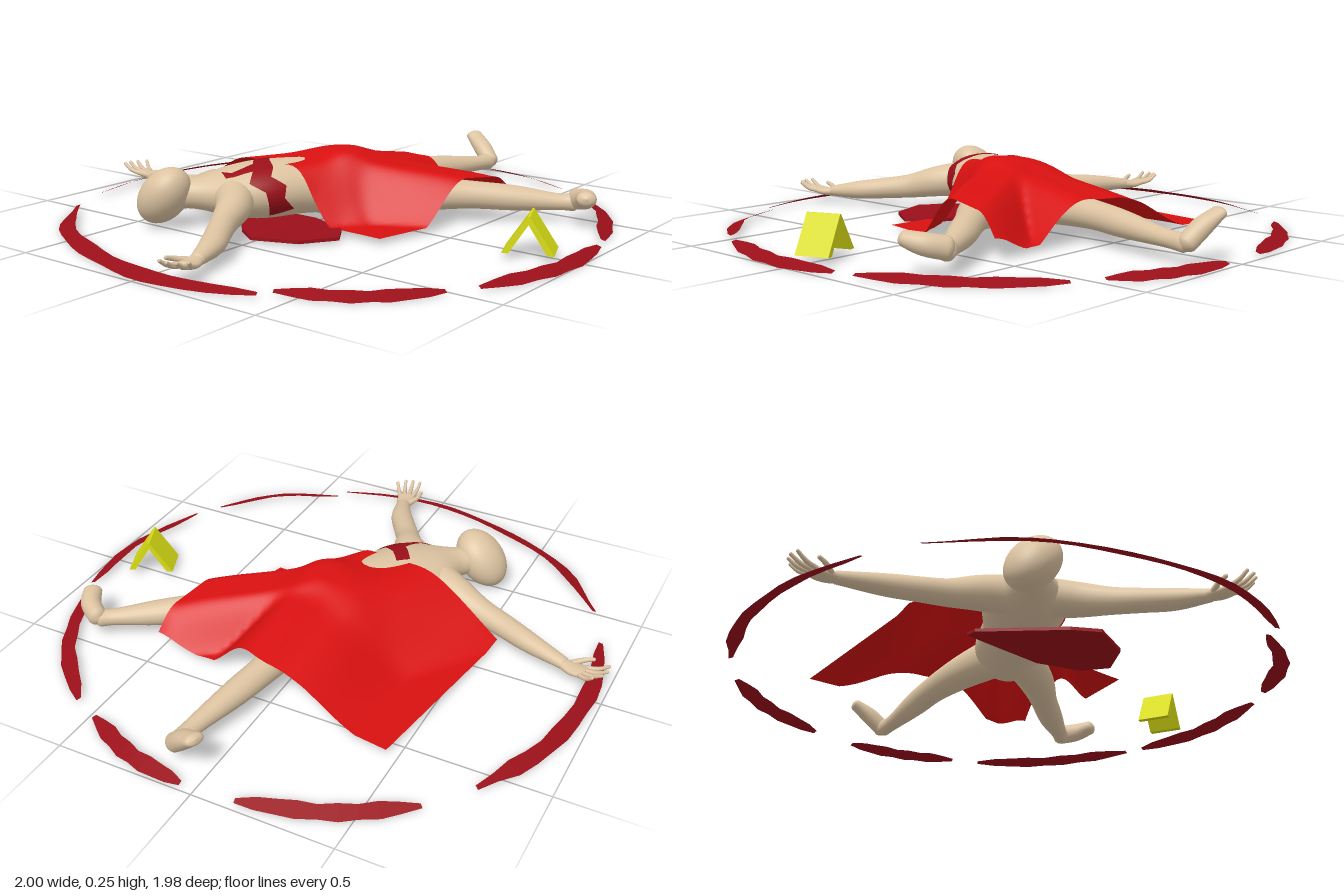
import * as THREE from 'three';

const paint = (color, extra = {}) => new THREE.MeshStandardMaterial({ color, ...extra });
const skin = paint(0xdcc3a1);
const red = paint(0xd81010, { side: THREE.DoubleSide });
const darkRed = paint(0x9a0f19, { flatShading: true, side: THREE.DoubleSide });
const stainRed = paint(0x9a0f19, { side: THREE.DoubleSide });
const yellow = paint(0xd9dd14, { flatShading: true });

function add(parent, name, geometry, material) {
  const mesh = new THREE.Mesh(geometry, material);
  mesh.name = name;
  parent.add(mesh);
  return mesh;
}

function gridGeometry(nu, nv, point) {
  const pos = [], index = [];
  for (let i = 0; i <= nu; i++)
    for (let j = 0; j <= nv; j++) pos.push(...point(i / nu, j / nv).toArray());
  for (let i = 0; i < nu; i++)
    for (let j = 0; j < nv; j++) {
      const a = i * (nv + 1) + j, b = a + nv + 1;
      index.push(a, a + 1, b, b, a + 1, b + 1);
    }
  const g = new THREE.BufferGeometry();
  g.setAttribute('position', new THREE.Float32BufferAttribute(pos, 3));
  g.setIndex(index);
  g.computeVertexNormals();
  return g;
}

// Rows are [x, y, z, half width, half height]; returns a point on the skin at (t, angle)
function skinSurface(rows) {
  const path = new THREE.CatmullRomCurve3(rows.map(r => new THREE.Vector3(r[0], r[1], r[2])));
  const size = new THREE.CatmullRomCurve3(rows.map(r => new THREE.Vector3(r[3], r[4], 0)), false, 'catmullrom');
  const Y = new THREE.Vector3(0, 1, 0);
  return (t, a, scale = 1, push = 0) => {
    const s = size.getPoint(t), tan = path.getTangent(t);
    const side = new THREE.Vector3().crossVectors(tan, Y).normalize();
    const up = new THREE.Vector3().crossVectors(side, tan);
    return path.getPoint(t)
      .addScaledVector(tan, push * Math.min(s.x, s.y))
      .addScaledVector(side, Math.cos(a) * s.x * scale)
      .addScaledVector(up, Math.sin(a) * s.y * scale);
  };
}

// Closed, round-ended body part
function loft(rows, sides = 20, steps = 5) {
  const surface = skinSurface(rows), n = (rows.length - 1) * steps;
  const rings = [[0, 0.01, -0.7], [0, 0.6, -0.5], [0, 0.88, -0.25]];
  for (let i = 0; i <= n; i++) rings.push([i / n, 1, 0]);
  rings.push([1, 0.88, 0.25], [1, 0.6, 0.5], [1, 0.01, 0.7]);
  const pos = [], index = [];
  rings.forEach(([t, s, p], i) => {
    for (let j = 0; j < sides; j++) {
      pos.push(...surface(t, j / sides * Math.PI * 2, s, p).toArray());
      if (i === rings.length - 1) continue;
      const a = i * sides + j, b = i * sides + (j + 1) % sides;
      index.push(a, a + sides, b, b, a + sides, b + sides);
    }
  });
  const g = new THREE.BufferGeometry();
  g.setAttribute('position', new THREE.Float32BufferAttribute(pos, 3));
  g.setIndex(index);
  g.computeVertexNormals();
  return g;
}

// Palm-up hand, fingers along local +x, thumb on local +z * thumbSide
function hand(name, x, y, z, turn, thumbSide) {
  const g = new THREE.Group();
  g.name = name;
  add(g, 'palm', loft([[-0.02, 0, 0, 0.022, 0.018], [0.03, -0.005, 0, 0.034, 0.016], [0.07, 0, 0, 0.034, 0.013]], 14), skin);
  for (let i = 0; i < 4; i++) {
    const s = (i - 1.5) * thumbSide, len = [0.06, 0.08, 0.085, 0.075][i];
    add(g, 'finger', loft([[0.065, 0, s * 0.017, 0.009, 0.009],
      [0.065 + len * 0.55, 0.008, s * 0.025, 0.008, 0.008],
      [0.065 + len, 0.03, s * 0.031, 0.006, 0.006]], 8, 3), skin);
  }
  add(g, 'thumb', loft([[0.015, 0, 0.022 * thumbSide, 0.012, 0.012],
    [0.045, 0.01, 0.05 * thumbSide, 0.009, 0.009],
    [0.075, 0.02, 0.062 * thumbSide, 0.007, 0.007]], 8, 3), skin);
  g.position.set(x, y, z);
  g.rotation.y = turn;
  return g;
}

// Thin slab cut from a floor outline of [x, z] points
function slab(points, thickness) {
  const shape = new THREE.Shape(points.map(p => new THREE.Vector2(p[0], -p[1])));
  return new THREE.ExtrudeGeometry(shape, { depth: thickness, bevelEnabled: false }).rotateX(-Math.PI / 2);
}

// Tapering floor stroke through [x, z] points, its inner edge raised
function stroke(points) {
  const curve = new THREE.CatmullRomCurve3(points.map(p => new THREE.Vector3(p[0], 0, p[1])));
  return gridGeometry(points.length * 3, 1, (u, v) => {
    const p = curve.getPointAt(u), s = 2 * v - 1;
    const w = 0.027 * Math.min(1, 0.3 + 4 * Math.min(u, 1 - u)) + 0.003 * Math.sin(u * 25);
    p.addScaledVector(p.clone().normalize(), s * w);
    p.y = 0.01 - s * w * 0.36;
    return p;
  });
}

// Height of the sheet where it drapes over the body: ridge ends, flat half width, right-hand falloff
const ridges = [
  [-0.22, 0.32, 0.212, 0.0, 0.0, 0.226, 0.075, 0.2],
  [0.02, -0.03, 0.226, 0.04, -0.5, 0.15, 0.05, 0.25],
  [0.04, -0.03, 0.226, 0.5, -0.27, 0.152, 0.05, 0.19],
];
function drape(x, z) {
  const { lerp, clamp, smoothstep } = THREE.MathUtils;
  let sum = 0;
  for (const [ax, az, ah, bx, bz, bh, flat, fall] of ridges) {
    const dx = bx - ax, dz = bz - az;
    const t = clamp(((x - ax) * dx + (z - az) * dz) / (dx * dx + dz * dz), 0, 1);
    const d = Math.hypot(x - ax - dx * t, z - az - dz * t);
    const width = lerp(0.43, fall, smoothstep(x, -0.15, 0.08));
    const k = Math.min(1, Math.max(0, d - flat) / width);
    sum += (lerp(ah, bh, t ** 1.25) * 0.5 * (1 + Math.cos(Math.PI * k))) ** 10;
  }
  return Math.max(0.02, sum ** 0.1 + 0.002 * Math.sin(x * 22 + z * 5));
}

export function createModel() {
  const model = new THREE.Group();
  const body = new THREE.Group();
  body.name = 'body';
  model.add(body);

  // Torso with neck, and head
  const torso = [[0.1, 0.1, -0.1, 0.09, 0.07], [0.03, 0.115, -0.02, 0.125, 0.095], [-0.06, 0.125, 0.11, 0.12, 0.1],
    [-0.15, 0.122, 0.24, 0.145, 0.102], [-0.22, 0.12, 0.33, 0.135, 0.085], [-0.28, 0.12, 0.41, 0.068, 0.058],
    [-0.33, 0.12, 0.46, 0.05, 0.05]];
  add(body, 'torso', loft(torso, 32), skin);
  const head = add(body, 'head', new THREE.SphereGeometry(1, 32, 24), skin);
  head.scale.set(0.08, 0.12, 0.092);
  head.position.set(-0.363, 0.116, 0.5);
  head.rotation.z = -0.72;

  // Arms and hands
  add(body, 'leftArm', loft([[-0.24, 0.12, 0.3, 0.075, 0.07], [-0.36, 0.105, 0.25, 0.064, 0.06], [-0.47, 0.078, 0.22, 0.05, 0.047],
    [-0.57, 0.066, 0.19, 0.045, 0.041], [-0.68, 0.06, 0.145, 0.04, 0.036], [-0.83, 0.05, 0.095, 0.025, 0.021]]), skin);
  add(body, 'rightArm', loft([[-0.18, 0.12, 0.34, 0.075, 0.07], [-0.09, 0.105, 0.44, 0.062, 0.06], [-0.04, 0.082, 0.54, 0.047, 0.047],
    [0.015, 0.07, 0.63, 0.044, 0.041], [0.07, 0.06, 0.72, 0.042, 0.036], [0.115, 0.05, 0.83, 0.026, 0.021]]), skin);
  body.add(hand('leftHand', -0.84, 0.05, 0.092, Math.PI - 0.2, -1));
  body.add(hand('rightHand', 0.112, 0.05, 0.835, -1.3, 1));

  // Legs and feet
  add(body, 'leftLeg', loft([[0.03, 0.11, -0.06, 0.075, 0.08], [0.025, 0.1, -0.27, 0.065, 0.062], [0.045, 0.095, -0.45, 0.052, 0.05],
    [0.075, 0.085, -0.6, 0.047, 0.045], [0.115, 0.072, -0.79, 0.032, 0.03], [0.125, 0.068, -0.87, 0.031, 0.032]]), skin);
  add(body, 'rightLeg', loft([[0.1, 0.11, -0.03, 0.075, 0.08], [0.3, 0.1, -0.145, 0.065, 0.062], [0.43, 0.095, -0.24, 0.052, 0.05],
    [0.56, 0.085, -0.33, 0.048, 0.045], [0.69, 0.075, -0.41, 0.032, 0.03], [0.735, 0.075, -0.44, 0.032, 0.033]]), skin);
  add(body, 'leftFoot', loft([[0.13, 0.068, -0.88, 0.033, 0.033], [0.08, 0.115, -0.9, 0.037, 0.033], [0.02, 0.16, -0.927, 0.034, 0.02]]), skin);
  add(body, 'rightFoot', loft([[0.74, 0.085, -0.45, 0.034, 0.038], [0.795, 0.1, -0.41, 0.037, 0.036], [0.825, 0.115, -0.355, 0.034, 0.026]]), skin);

  // Chest stain: bands of [t, angle] pairs laid just over the torso
  const surface = skinSurface(torso);
  const bands = [
    [[0.44, 1.3, 0.5, 1.25], [0.46, 1.7, 0.53, 1.65], [0.46, 2.1, 0.55, 2.15], [0.48, 2.45, 0.58, 2.6], [0.43, 2.8, 0.51, 2.95], [0.44, 3.2, 0.5, 3.3], [0.4, 3.7, 0.49, 3.9]],
    [[0.51, 1.75, 0.51, 2.15], [0.6, 1.95, 0.6, 2.2], [0.66, 2.05, 0.65, 2.25], [0.71, 1.85, 0.7, 2.25]],
  ];
  for (const band of bands) {
    const n = band.length - 1;
    add(body, 'chestStain', gridGeometry(n * 4, 6, (u, v) => {
      const i = Math.min(n - 1, Math.floor(u * n)), f = u * n - i;
      const [t0, a0, t1, a1] = band[i].map((q, k) => q + (band[i + 1][k] - q) * f);
      return surface(t0 + (t1 - t0) * v, a0 + (a1 - a0) * v, 1.03);
    }), stainRed);
  }

  // Draped sheet
  add(model, 'sheet', gridGeometry(56, 48, (u, v) => {
    const lerp = THREE.MathUtils.lerp;
    const x = lerp(lerp(-0.46, 0.5, u), lerp(-0.57, 0.36, u), v);
    const sag = 0.045 * Math.exp(-(((u - 0.74) / 0.16) ** 2)) * (1 - v) + 0.02 * Math.sin(Math.PI * 1.4 * u) * v;
    const z = lerp(lerp(-0.56, -0.42, u), lerp(0.14, 0.235, u), v) + sag;
    return new THREE.Vector3(x, drape(x, z), z);
  }), red);

  // Pool under the torso
  add(model, 'pool', slab([[-0.09, 0.4], [0, 0.46], [0.16, 0.4], [0.24, 0.28], [0.18, 0.19], [0.02, 0.13], [-0.31, 0.13], [-0.31, 0.17]], 0.012), darkRed)
    .position.y = 0.008;

  // Broken ring painted on the floor
  [
    [[-0.14, -0.97], [-0.43, -0.88], [-0.66, -0.73]],
    [[0.05, -0.98], [0.27, -0.94], [0.48, -0.84]],
    [[0.58, -0.79], [0.79, -0.57], [0.94, -0.26]],
    [[0.96, -0.19], [0.975, 0.1], [0.88, 0.43]],
    [[0.82, 0.52], [0.65, 0.72], [0.42, 0.83]],
    [[0.4, 0.88], [0.2, 0.94], [-0.02, 0.955], [-0.32, 0.88], [-0.6, 0.74], [-0.82, 0.5]],
    [[-0.9, 0.32], [-0.95, 0.05], [-0.91, -0.3], [-0.78, -0.58]],
  ].forEach(points => add(model, 'ringStroke', stroke(points), darkRed));

  // Folded tent marker
  const fold = new THREE.Shape([[-0.085, 0], [-0.062, 0], [0, 0.098], [0.062, 0], [0.085, 0], [0.003, 0.125], [-0.003, 0.125]]
    .map(p => new THREE.Vector2(...p)));
  const marker = add(model, 'tentMarker', new THREE.ExtrudeGeometry(fold, { depth: 0.12, bevelEnabled: false }).translate(0, 0, -0.06), yellow);
  marker.position.set(0.82, 0.02, 0.023);
  marker.rotation.y = 0.38;

  return model;
}
